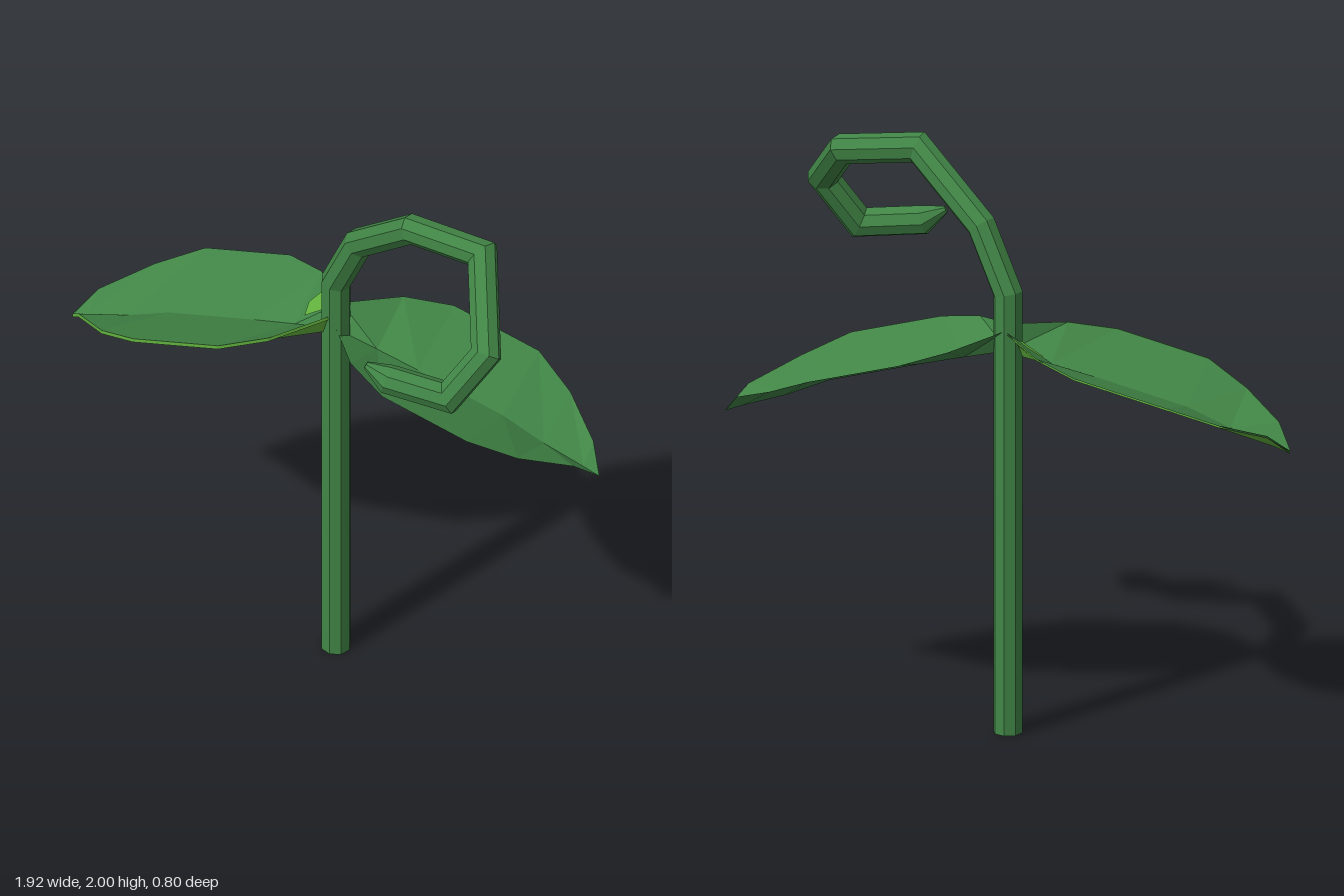
import * as THREE from 'three';

const STEM_Z = -0.125;

// Eight-sided tube with mitred bends; each ring is the previous one slid along the segment
function mitredTube(points, radius, sides, tipScale) {
  const p = points.map(a => new THREE.Vector3(...a));
  const last = p.length - 1;
  const dir = i => p[i + 1].clone().sub(p[i]).normalize();
  let ring = [];
  for (let k = 0; k < sides; k++) {
    const a = (k / sides) * Math.PI * 2;
    ring.push(new THREE.Vector3(Math.sin(a) * radius, 0, Math.cos(a) * radius).add(p[0]));
  }
  const pos = [], index = [];
  const push = r => r.forEach(v => pos.push(v.x, v.y, v.z));
  push(ring);
  for (let i = 1; i <= last; i++) {
    const d = dir(i - 1);
    const n = i < last ? d.clone().add(dir(i)) : d;
    ring = ring.map(v => {
      const t = p[i].clone().sub(v).dot(n) / d.dot(n);
      const q = v.clone().addScaledVector(d, t);
      return i === last ? q.sub(p[i]).multiplyScalar(tipScale).add(p[i]) : q;
    });
    push(ring);
    for (let k = 0; k < sides; k++) {
      const a = (i - 1) * sides + k, b = (i - 1) * sides + (k + 1) % sides;
      index.push(a, b, b + sides, a, b + sides, a + sides);
    }
  }
  // end caps
  for (let k = 1; k < sides - 1; k++) {
    index.push(0, k + 1, k);
    index.push(last * sides, last * sides + k, last * sides + k + 1);
  }
  return toGeometry(pos, index);
}

function toGeometry(pos, index) {
  const g = new THREE.BufferGeometry();
  g.setAttribute('position', new THREE.Float32BufferAttribute(pos, 3));
  g.setIndex(index);
  const flat = g.toNonIndexed();
  flat.computeVertexNormals();
  return flat;
}

// Leaf stations: distance from stem, half width, rim height, midrib height
const STATIONS = [
  [0, 0.04, 1.4, 1.32], [0.15, 0.2, 1.365, 1.285], [0.3, 0.272, 1.328, 1.248],
  [0.61, 0.272, 1.245, 1.165], [0.76, 0.2, 1.175, 1.1], [0.905, 0.075, 1.105, 1.052],
  [0.962, 0.003, 1.035, 1.03],
];
const RIGHT_LIFT = 0.025; // the right leaf droops slightly less

// Folded leaf sheet: rim, midrib, rim
function leafSheet(side, lift, drop) {
  const pos = [], index = [];
  STATIONS.forEach(([x, w, rim, rib], i) => {
    const y = lift * x - drop;
    pos.push(side * x, rim + y, STEM_Z - w, side * x, rib + y, STEM_Z, side * x, rim + y, STEM_Z + w);
    if (i === 0) return;
    for (let k = 0; k < 2; k++) {
      const a = (i - 1) * 3 + k, b = a + 1, c = a + 3, d = a + 4;
      if (side > 0) index.push(a, b, d, a, d, c);
      else index.push(a, d, b, a, c, d);
    }
  });
  return toGeometry(pos, index);
}

// Narrow band along the front rim of the right leaf
function rightLeafRim() {
  const pos = [], index = [];
  STATIONS.forEach(([x, w, rim], i) => {
    const y = rim + RIGHT_LIFT * x, z = STEM_Z + w + 0.001;
    pos.push(-x, y + 0.001, z, -x, y - 0.013, z);
    const a = i * 2;
    if (i > 0) index.push(a, a + 1, a - 1, a, a - 1, a - 2);
  });
  return toGeometry(pos, index);
}

// Small spot in the plane of the facet on the back half of the right leaf, near its base
function rightLeafSpot(rise) {
  const corners = [[0.055, 0.025], [0.055, 0.09], [0.1, 0.108], [0.135, 0.075], [0.125, 0.02]];
  const pos = corners.flatMap(([x, w]) =>
    [-x, 1.384 - 0.66 * x + 0.4 * w + RIGHT_LIFT * x + rise, STEM_Z - w]);
  return toGeometry(pos, [0, 2, 1, 0, 3, 2, 0, 4, 3]);
}

export function createModel() {
  const group = new THREE.Group();
  group.name = 'sprout';

  const green = new THREE.MeshStandardMaterial({ color: 0x418546, flatShading: true, side: THREE.DoubleSide });
  green.name = 'leaf green';
  const lime = new THREE.MeshStandardMaterial({ color: 0x62b23f, flatShading: true, side: THREE.DoubleSide });
  lime.name = 'yellow green';

  const add = (name, geometry, material) => {
    const mesh = new THREE.Mesh(geometry, material);
    mesh.name = name;
    group.add(mesh);
  };

  // stem running up into the curling tendril
  add('stemAndTendril', mitredTube([
    [0, 0, STEM_Z], [0, 1.52, STEM_Z], [0.1, 1.735, -0.09], [0.345, 1.95, 0.018],
    [0.6, 1.925, 0.008], [0.738, 1.735, 0.265], [0.632, 1.565, 0.33],
    [0.42, 1.585, 0.352], [0.345, 1.625, 0.362],
  ], 0.05, 8, 0.25), green);

  // left leaf, one colour on both faces
  add('leftLeaf', leafSheet(1, 0, 0), green);

  // right leaf with a lighter underside and rim, and a spot where the layers cross
  add('rightLeaf', leafSheet(-1, RIGHT_LIFT, 0), green);
  add('rightLeafUnderside', leafSheet(-1, RIGHT_LIFT, 0.006), lime);
  add('rightLeafRim', rightLeafRim(), lime);
  add('rightLeafUpperSpot', rightLeafSpot(0.006), lime);
  add('rightLeafLowerSpot', rightLeafSpot(-0.012), green);

  return group;
}
